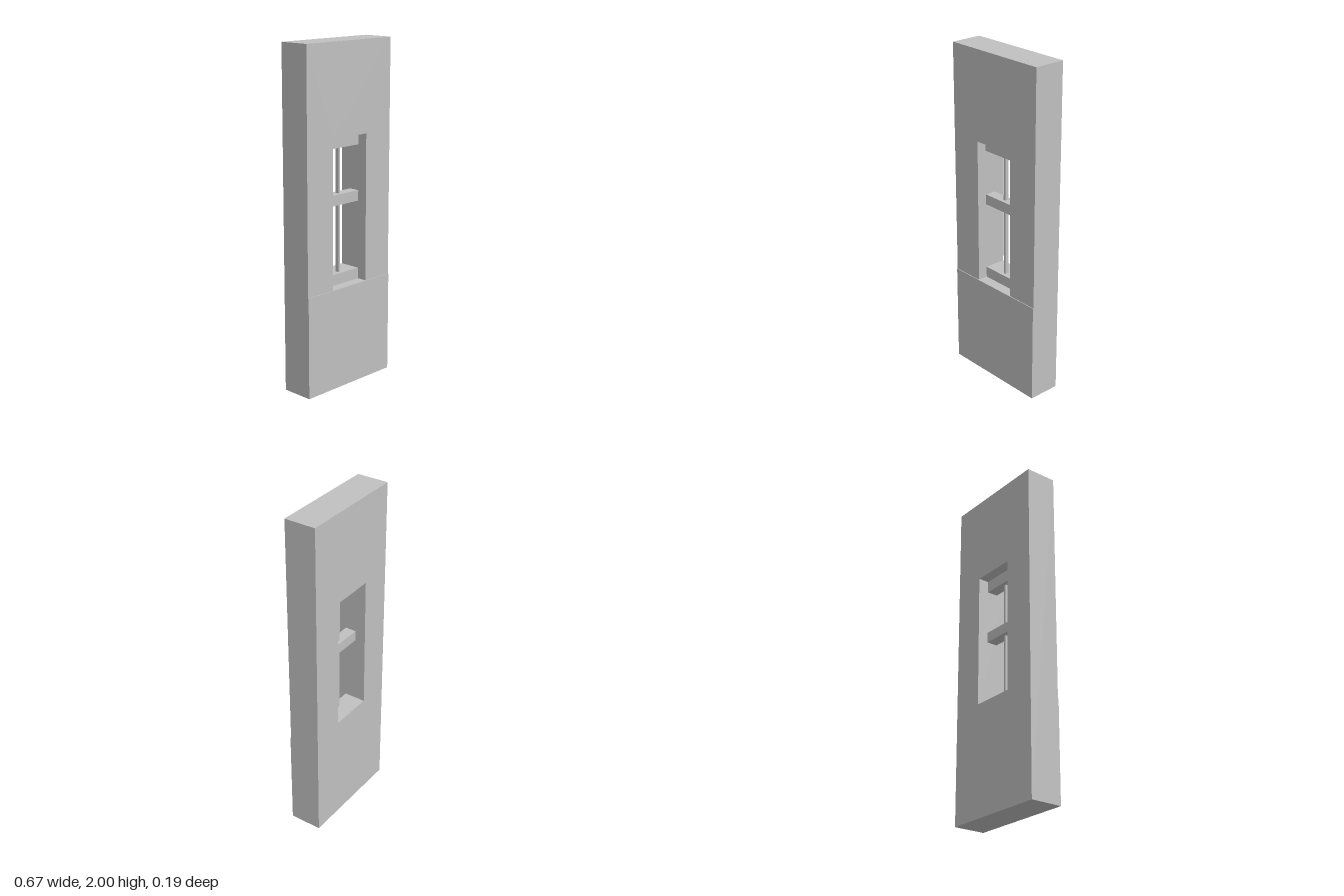
import * as THREE from 'three';

export function createModel() {
  const group = new THREE.Group();
  group.name = 'windowWall';
  const plaster = new THREE.MeshStandardMaterial({ color: 0xc0c0c0 });
  plaster.name = 'plainGrey';

  const W = 0.333, BACK = -0.0975, FRONT = 0.093, PLINTH = 0.0975;
  const OPEN = 0.135, SILL = 0.6, HEAD = 1.47;

  // Box given by its lower and upper corners
  function box(name, [x0, y0, z0], [x1, y1, z1]) {
    const mesh = new THREE.Mesh(new THREE.BoxGeometry(x1 - x0, y1 - y0, z1 - z0), plaster);
    mesh.position.set((x0 + x1) / 2, (y0 + y1) / 2, (z0 + z1) / 2);
    mesh.name = name;
    group.add(mesh);
  }

  function rect(path, x, y0, y1) {
    path.moveTo(-x, y0);
    path.lineTo(x, y0);
    path.lineTo(x, y1);
    path.lineTo(-x, y1);
    path.closePath();
    return path;
  }

  // Wall panel with the window opening cut through it
  const outline = rect(new THREE.Shape(), W, 0, 2);
  outline.holes.push(rect(new THREE.Path(), OPEN, SILL, HEAD));
  const wallGeometry = new THREE.ExtrudeGeometry(outline, { depth: FRONT - BACK, bevelEnabled: false });
  wallGeometry.translate(0, 0, BACK);
  const wall = new THREE.Mesh(wallGeometry, plaster);
  wall.name = 'wall';
  group.add(wall);

  // Slightly proud lower wall facing
  box('plinth', [-W, 0, FRONT], [W, SILL, PLINTH]);

  // Raised inner sill, flush with the back of the wall
  box('innerSill', [-OPEN, SILL, BACK], [OPEN, 0.665, 0.033]);

  // Horizontal rails set in the middle of the opening
  box('middleRail', [-OPEN, 1.07, -0.033], [OPEN, 1.132, 0.033]);
  box('topRail', [-OPEN, 1.4, -0.033], [OPEN, HEAD, 0.033]);

  // Slim upright bars between the rails
  box('lowerBar', [-0.008, 0.665, -0.011], [0.008, 1.07, 0.011]);
  box('upperBar', [-0.008, 1.132, -0.011], [0.008, 1.4, 0.011]);

  return group;
}
